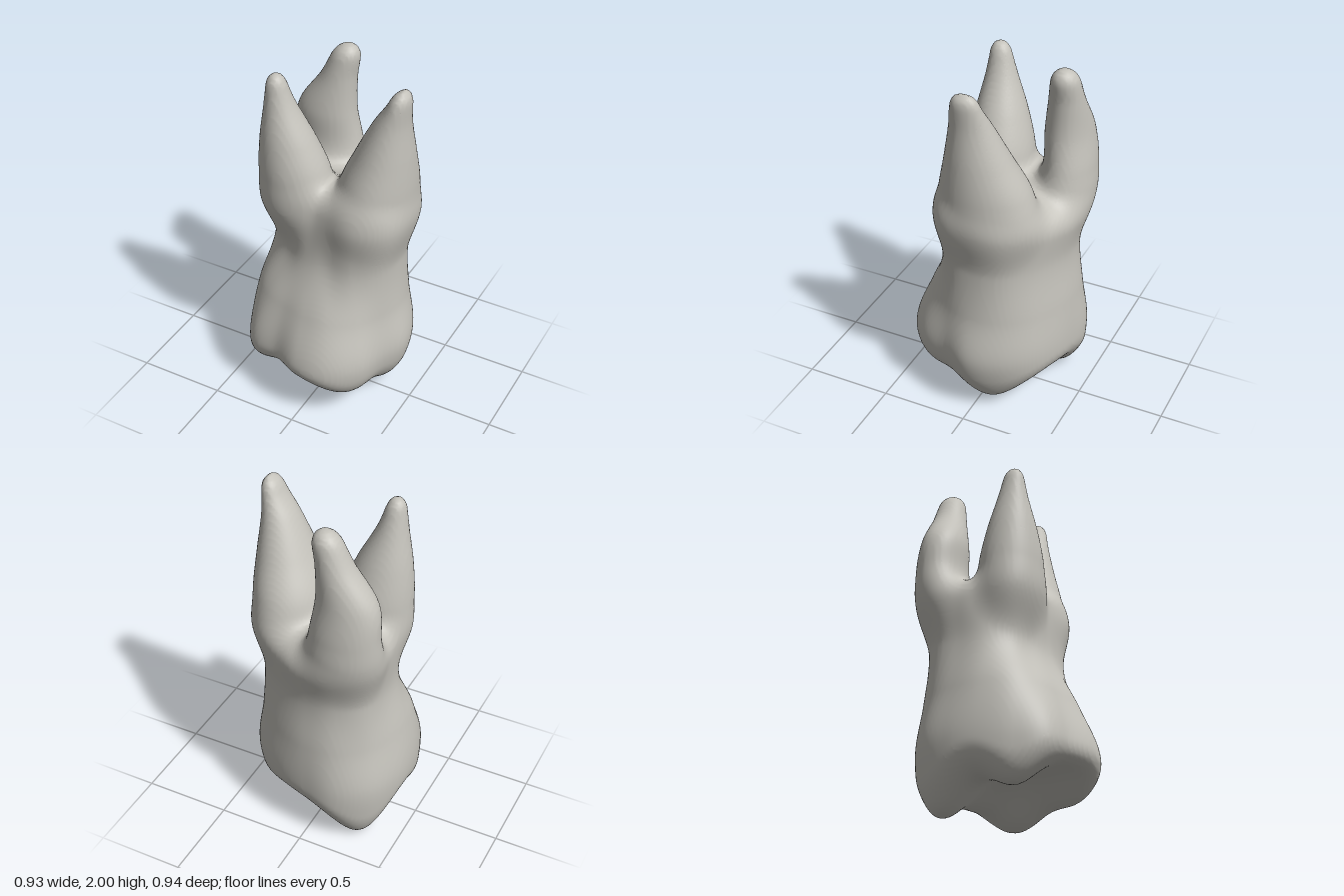
import * as THREE from 'three';

// Outline rings of crown and trunk: height, then 16 radii turning from +x towards +z
const CROWN = [.46, .432, .472, .485, .458, .422, .483, .47, .463, .475, .5, .492, .45, .438, .45, .458];
const TRUNK = [.435, .435, .35, .26, .225, .25, .305, .35, .35, .4, .465, .475, .445, .415, .42, .45];
const BODY = [
  // The crown narrows towards its chewing surface, most on the left
  [.08, ...CROWN.map((r, i) => r * (.95 - .12 * Math.max(0, Math.cos(i * Math.PI / 8))))],
  [.37, ...CROWN],
  [.65, .415, .4, .4, .385, .355, .345, .385, .42, .425, .43, .455, .46, .435, .42, .425, .425],
  [.93, .4, .39, .335, .265, .24, .24, .257, .315, .36, .385, .435, .435, .41, .395, .4, .41],
  [1.23, ...TRUNK],
  [1.5, ...TRUNK.map((r) => r * .8)],
];

// Roots: tip height and rows of [y, centre x, centre z, radius x, radius z]
const ROOTS = [
  { tip: 1.99, rows: [[.95, -.14, .02, .13, .1], [1.2, -.18, .07, .2, .175], [1.4, -.187, .082, .2, .178],
    [1.6, -.217, .098, .153, .142], [1.8, -.25, .115, .086, .087], [1.92, -.262, .125, .056, .06], [2, -.265, .13, .047, .048]] },
  { tip: 1.995, rows: [[.95, -.12, -.25, .16, .09], [1.2, -.17, -.285, .217, .175], [1.4, -.195, -.32, .195, .142],
    [1.6, -.2, -.308, .168, .127], [1.8, -.135, -.312, .102, .096], [1.92, -.098, -.315, .08, .078], [2, -.08, -.315, .06, .06]] },
  { tip: 2.008, rows: [[.95, .2, -.04, .15, .18], [1.2, .237, -.035, .215, .285], [1.4, .255, -.033, .205, .253],
    [1.6, .296, -.015, .156, .183], [1.8, .34, .003, .097, .118], [1.92, .38, .012, .06, .085], [2, .398, .013, .047, .068]] },
];

// Cusps on the chewing surface: x, z, depth, spread
const CUSPS = [[-.26, -.27, .27, .2], [.27, -.07, .22, .225], [-.34, .15, .165, .17], [.24, .3, .1, .17], [.02, -.23, .08, .14]];

const smin = (a, b, k) => {
  const h = Math.max(k - Math.abs(a - b), 0);
  return Math.min(a, b) - h * h / (4 * k);
};
const smax = (a, b, k) => -smin(-a, -b, k);

const hermite = (a, b, ma, mb, t) => {
  const t2 = t * t, t3 = t2 * t;
  return a * (2 * t3 - 3 * t2 + 1) + ma * (t3 - 2 * t2 + t) + b * (3 * t2 - 2 * t3) + mb * (t3 - t2);
};

// Smoothly interpolate a table of rows at height y
function sample(rows, y) {
  const n = rows.length - 1;
  if (y <= rows[0][0]) return rows[0];
  if (y >= rows[n][0]) return rows[n];
  let i = 0;
  while (y > rows[i + 1][0]) i++;
  const a = rows[i], b = rows[i + 1], dy = b[0] - a[0];
  const p = rows[Math.max(i - 1, 0)], q = rows[Math.min(i + 2, n)];
  return a.map((v, k) => hermite(v, b[k],
    (b[k] - p[k]) / (b[0] - p[0]) * dy, (q[k] - v) / (q[0] - a[0]) * dy, (y - a[0]) / dy));
}

// Closed ring radius at an angle
function ringRadius(ring, angle) {
  const u = (angle / (Math.PI * 2) + 1) * 16, i = Math.floor(u);
  const at = (k) => ring[1 + ((i + k + 16) % 16)];
  return hermite(at(0), at(1), (at(1) - at(-1)) / 2, (at(2) - at(0)) / 2, u - i);
}

// Solid field at one height: negative inside
function layer(y) {
  const ring = sample(BODY, y);
  const roots = ROOTS.map((r) => ({ tip: r.tip, s: sample(r.rows, y) }));
  return (x, z) => {
    let d = Math.hypot(x, z) - ringRadius(ring, Math.atan2(z, x));
    // The fork between the roots sits higher at the front
    d = smax(d, y - 1.345 - .22 * z, .14);
    let rootField = 9;
    for (const { tip, s: [, cx, cz, rx, rz] } of roots) {
      const dx = (x - cx) / rx, dz = (z - cz) / rz, k = Math.hypot(dx, dz);
      const e = k < 1e-6 ? -Math.min(rx, rz) : k * (k - 1) / Math.hypot(dx / rx, dz / rz);
      rootField = smin(rootField, smax(e, y - tip, .08), .06);
    }
    d = smin(d, rootField, .07);
    let floor = .27;
    for (const [cx, cz, depth, s] of CUSPS) floor -= depth * Math.exp(-((x - cx) ** 2 + (z - cz) ** 2) / (s * s));
    return smax(d, floor - y, .11);
  };
}

// Skin the solid with a smooth quad net
function skin(min, size, step) {
  const n = size.map((s) => Math.ceil(s / step) + 1);
  const stride = [1, n[0], n[0] * n[1]];
  const field = new Float32Array(n[0] * n[1] * n[2]);
  for (let j = 0; j < n[1]; j++) {
    const f = layer(min[1] + j * step);
    for (let k = 0; k < n[2]; k++) for (let i = 0; i < n[0]; i++) {
      field[i + j * stride[1] + k * stride[2]] = f(min[0] + i * step, min[2] + k * step);
    }
  }
  const cell = new Int32Array(field.length).fill(-1);
  const positions = [], index = [];
  // One vertex per crossed cell, at the mean of its edge crossings
  for (let k = 0; k < n[2] - 1; k++) for (let j = 0; j < n[1] - 1; j++) for (let i = 0; i < n[0] - 1; i++) {
    const base = i + j * stride[1] + k * stride[2], sum = [0, 0, 0];
    let count = 0;
    for (let c = 0; c < 8; c++) for (let a = 0; a < 3; a++) {
      if (c >> a & 1) continue;
      const o = [c & 1, c >> 1 & 1, c >> 2 & 1];
      const p = base + o[0] + o[1] * stride[1] + o[2] * stride[2];
      const v0 = field[p], v1 = field[p + stride[a]];
      if ((v0 < 0) === (v1 < 0)) continue;
      o[a] += v0 / (v0 - v1);
      o.forEach((v, m) => { sum[m] += v; });
      count++;
    }
    if (!count) continue;
    cell[base] = positions.length / 3;
    [i, j, k].forEach((g, m) => positions.push(min[m] + (g + sum[m] / count) * step));
  }
  // One quad per crossed grid edge, facing outwards
  for (let k = 1; k < n[2] - 1; k++) for (let j = 1; j < n[1] - 1; j++) for (let i = 1; i < n[0] - 1; i++) {
    const p = i + j * stride[1] + k * stride[2];
    for (let a = 0; a < 3; a++) {
      const inside = field[p] < 0;
      if (inside === (field[p + stride[a]] < 0)) continue;
      const b = stride[(a + 1) % 3], c = stride[(a + 2) % 3];
      const q = [cell[p - b - c], cell[p - c], cell[p], cell[p - b]];
      if (!inside) q.reverse();
      index.push(q[0], q[1], q[2], q[0], q[2], q[3]);
    }
  }
  const geometry = new THREE.BufferGeometry();
  geometry.setAttribute('position', new THREE.Float32BufferAttribute(positions, 3));
  geometry.setIndex(index);
  geometry.computeVertexNormals();
  return geometry;
}

export function createModel() {
  const enamel = new THREE.MeshStandardMaterial({ color: 0xc4c2bb });
  enamel.name = 'enamel';

  // Crown, neck and three roots as one continuous skin, standing on its cusps
  const tooth = new THREE.Mesh(skin([-.56, -.08, -.56], [1.12, 2.16, 1.12], .016), enamel);
  tooth.name = 'toothCrownAndRoots';
  tooth.position.y = -new THREE.Box3().setFromObject(tooth).min.y;
  const group = new THREE.Group();
  group.name = 'molarTooth';
  group.add(tooth);
  return group;
}
